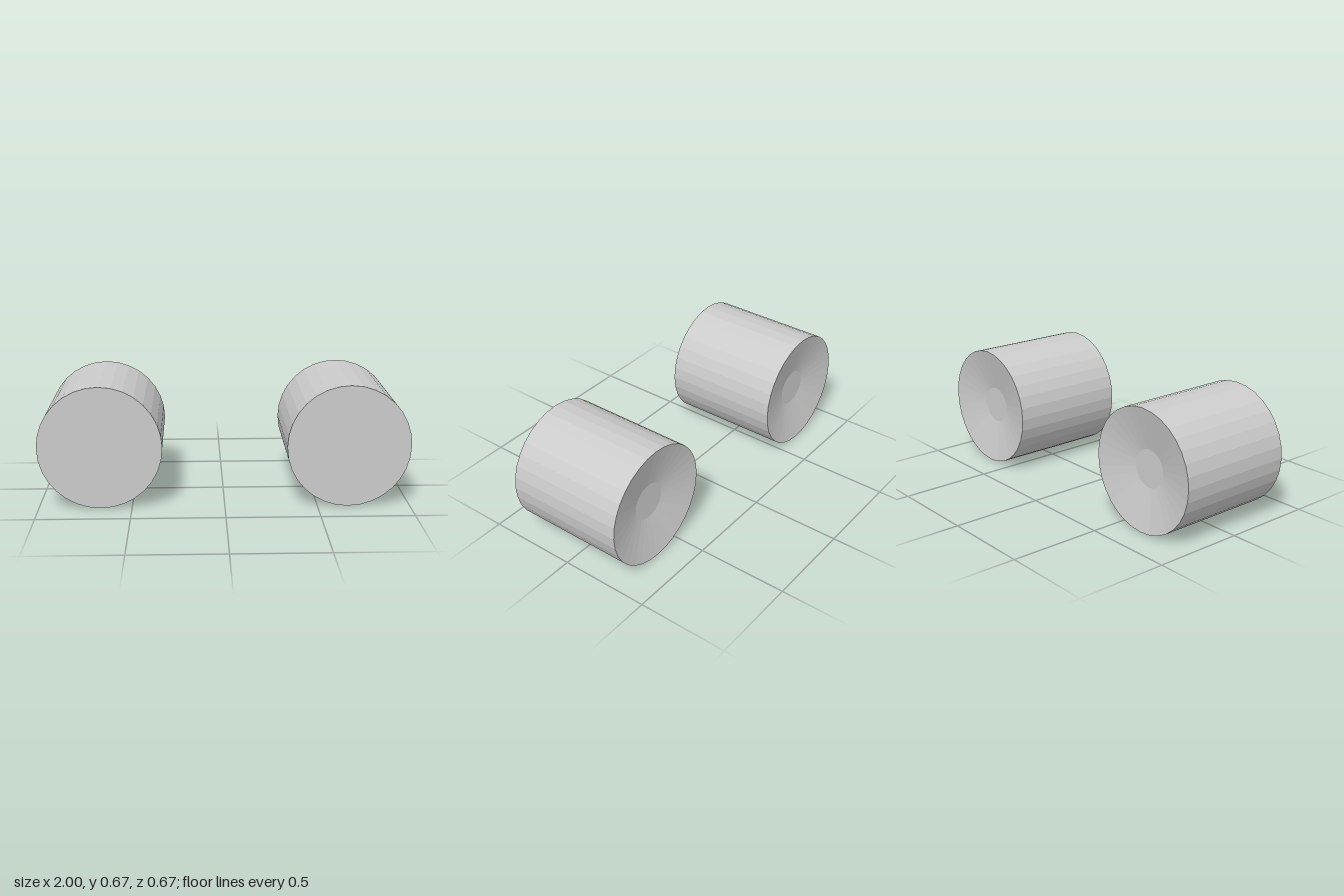
import * as THREE from 'three';

const R = 1 / 3;      // radius and half length of each cylinder
const HUB = 0.102;    // radius of the flat disc in the recess
const DEPTH = 0.053;  // depth of the recess

export function createModel() {
  const group = new THREE.Group();
  const material = new THREE.MeshStandardMaterial({ color: 0xcccccc, flatShading: true });

  // Closed profile: dished back, straight wall, flat front
  const profile = [
    [0, -R + DEPTH], [HUB, -R + DEPTH], [R, -R], [R, R], [0, R],
  ].map(([r, y]) => new THREE.Vector2(r, y));
  const geometry = new THREE.LatheGeometry(profile, 32).rotateX(Math.PI / 2);

  // A matching pair, left and right
  for (const [name, side] of [['leftCylinder', 1], ['rightCylinder', -1]]) {
    const cylinder = new THREE.Mesh(geometry, material);
    cylinder.name = name;
    cylinder.position.set(side * 2 * R, R, 0);
    group.add(cylinder);
  }
  return group;
}
